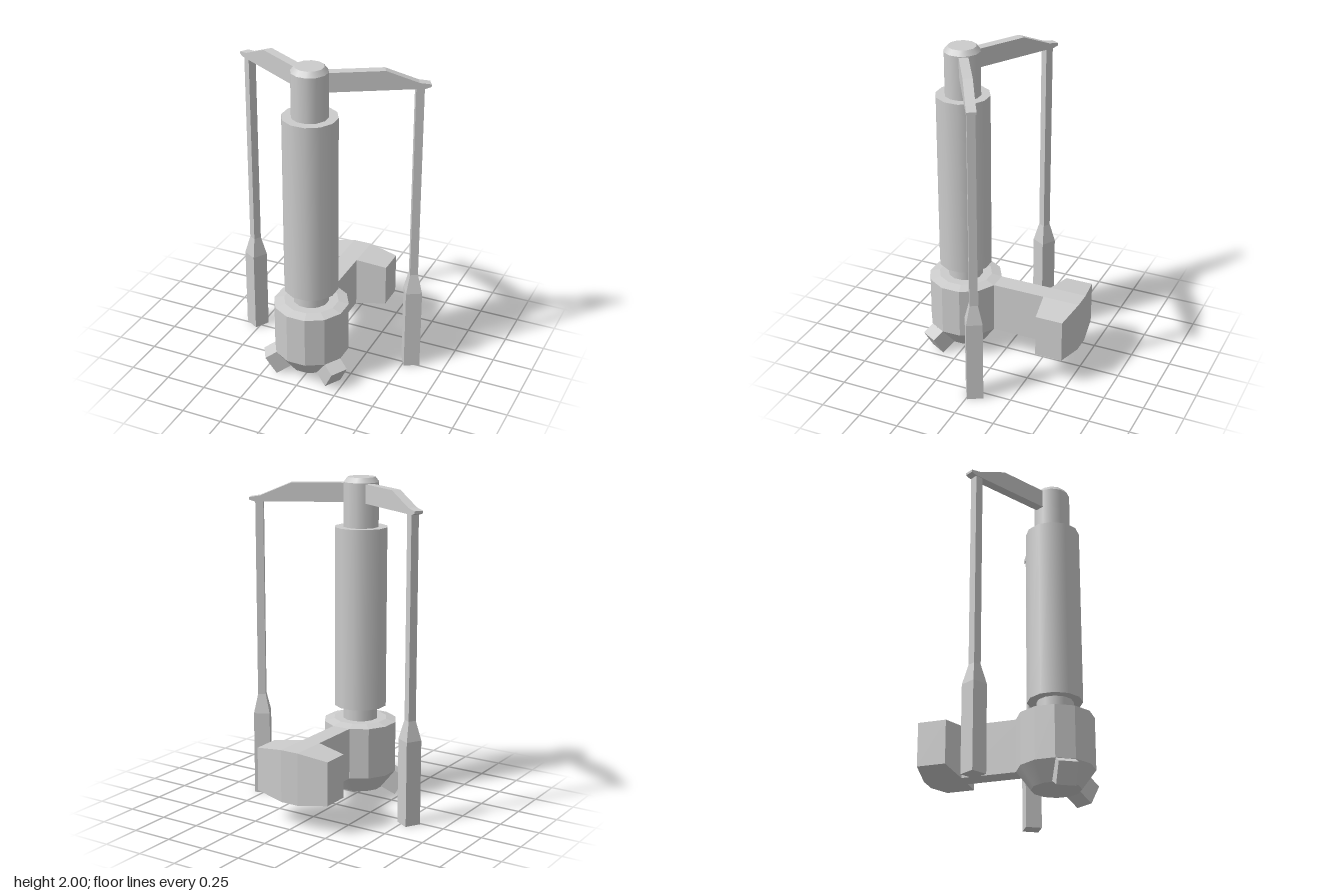
import * as THREE from 'three';

const SIDES = 12;
const AXIS_Z = 0.28; // the column stands forward of the centre
const flat = new THREE.MeshStandardMaterial({ color: 0xcccccc, flatShading: true });
const smooth = new THREE.MeshStandardMaterial({ color: 0xcccccc });

function add(parent, name, geometry, material = flat) {
  const mesh = new THREE.Mesh(geometry, material);
  mesh.name = name;
  parent.add(mesh);
  return mesh;
}

// Prism or frustum from y0 to y1; radii are measured to the middle of the flats
function frustum(y0, r0, y1, r1, sides = SIDES, openEnded = false) {
  const k = 1 / Math.cos(Math.PI / sides);
  return new THREE.CylinderGeometry(r1 * k, r0 * k, y1 - y0, sides, 1, openEnded)
    .rotateY(Math.PI / sides)
    .translate(0, (y0 + y1) / 2, 0);
}

// Arm silhouette in the radial plane: [distance from the axis, height]
const ARM = [[0.07, 1.85], [0.645, 1.85], [0.676, 1.86], [0.676, 1.875],
  [0.61, 1.886], [0.42, 1.965], [0.07, 1.965]];

function armGeometry(width) {
  const shape = new THREE.Shape(ARM.map(([r, y]) => new THREE.Vector2(r, y)));
  return new THREE.ExtrudeGeometry(shape, { depth: width, bevelEnabled: false })
    .translate(0, 0, -width / 2);
}

export function createModel() {
  const model = new THREE.Group();
  model.name = 'model';
  const core = new THREE.Group();
  core.name = 'core';
  core.position.z = AXIS_Z;
  model.add(core);

  // Column, from the bottom up
  add(core, 'noseCone', frustum(0.055, 0.14, 0.167, 0.22), smooth);
  add(core, 'hub', frustum(0.167, 0.22, 0.485, 0.22));
  add(core, 'hubCap', frustum(0.485, 0.22, 0.5, 0.16));
  add(core, 'neck', frustum(0.49, 0.105, 0.595, 0.105), smooth);
  add(core, 'barrel', frustum(0.585, 0.158, 1.7, 0.158), smooth);
  add(core, 'upperShaft', frustum(1.69, 0.105, 1.97, 0.105), smooth);
  add(core, 'shaftCap', frustum(1.97, 0.105, 2, 0.082), smooth);

  // Two swept-back arms, each holding a hanging leg
  for (const [side, angle] of [['left', 30], ['right', 150]]) {
    const limb = new THREE.Group();
    limb.name = side + 'Limb';
    limb.rotation.y = THREE.MathUtils.degToRad(angle);
    core.add(limb);
    add(limb, side + 'Arm', armGeometry(0.056));
    const leg = new THREE.Group();
    leg.name = side + 'Leg';
    leg.position.x = 0.615;
    limb.add(leg);
    add(leg, 'foot', frustum(0.005, 0.049, 0.525, 0.049, 4));
    add(leg, 'footTaper', frustum(0.525, 0.049, 0.643, 0.024, 4, true));
    add(leg, 'rod', frustum(0.643, 0.024, 1.86, 0.024, 4));
  }

  // Two stubs angled down and out at the front of the nose cone
  for (const [side, angle] of [['left', -30], ['right', -150]]) {
    const mount = new THREE.Group();
    mount.name = side + 'StubMount';
    mount.rotation.y = THREE.MathUtils.degToRad(angle);
    core.add(mount);
    const stub = add(mount, side + 'Stub', new THREE.BoxGeometry(0.13, 0.134, 0.114).translate(-0.065, 0, 0));
    stub.position.set(0.2545, 0.0675, 0);
    stub.rotation.z = -Math.PI / 6;
  }

  // Rear spar and the block across its end
  add(model, 'rearSpar', new THREE.BoxGeometry(0.116, 0.32, 0.37).translate(0, 0.325, -0.095));
  const block = new THREE.BoxGeometry(0.495, 0.32, 0.23, 3, 1, 1);
  const p = block.attributes.position;
  for (let i = 0; i < p.count; i++) {
    // The ends taper in height and depth; the middle third keeps full size
    if (Math.abs(p.getX(i)) > 0.2) p.setXYZ(i, p.getX(i), p.getY(i) * 0.83, p.getZ(i) * 0.74);
    else p.setX(i, Math.sign(p.getX(i)) * 0.058);
  }
  block.computeVertexNormals();
  add(model, 'rearBlock', block.translate(0, 0.325, -0.385));

  return model;
}
